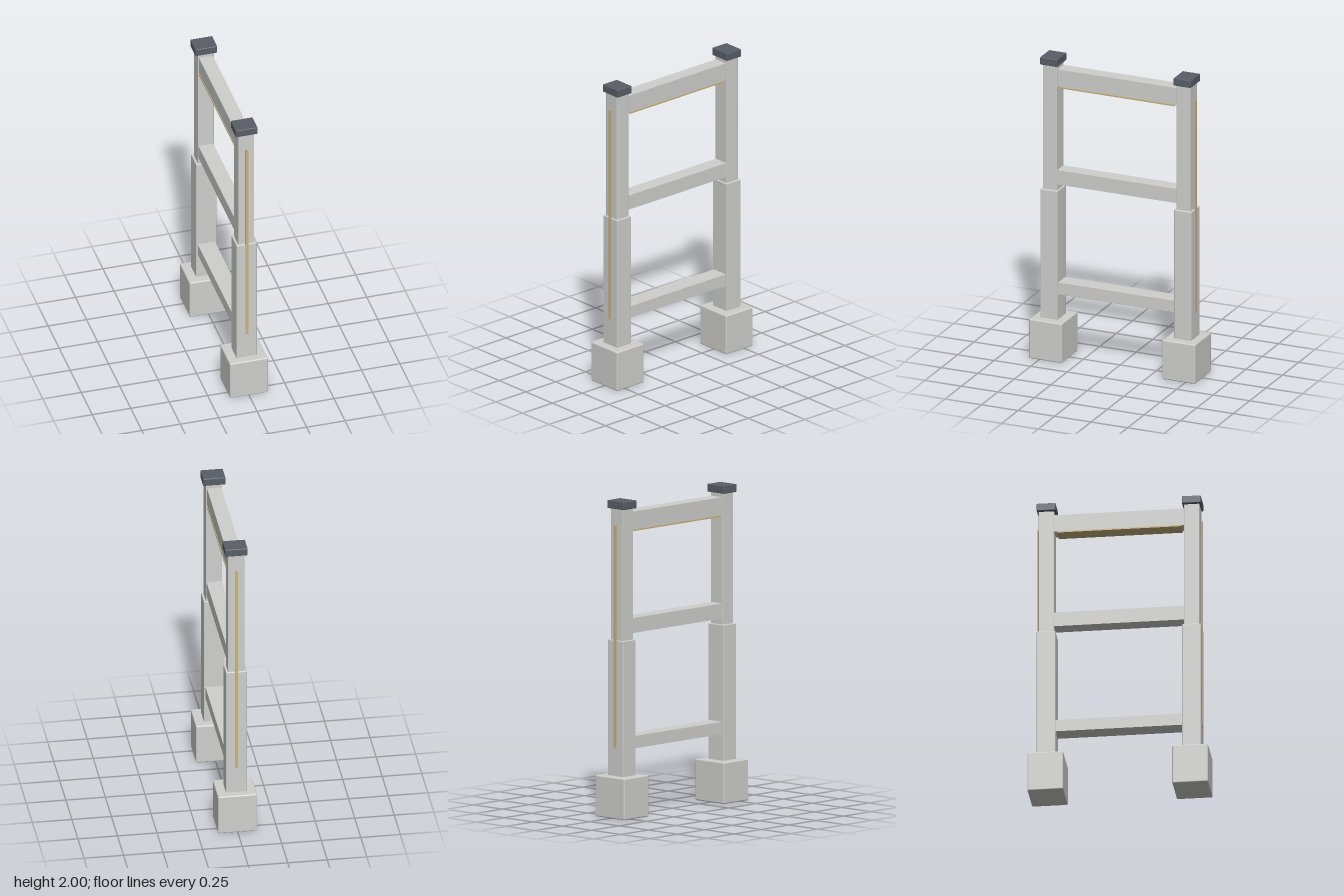
import * as THREE from 'three';
import { RoundedBoxGeometry } from 'three/addons/geometries/RoundedBoxGeometry.js';

const material = (name, color) => {
  const m = new THREE.MeshStandardMaterial({ color });
  m.name = name;
  return m;
};

export function createModel() {
  const concrete = material('concrete grey', 0xcfcfcd);
  const slate = material('slate cap', 0x595e67);
  const brass = material('pale brass', 0xc8b380);
  const model = new THREE.Group();
  model.name = 'gateFrame';

  // Box from its width, height range and depth range; a radius softens the edges
  function block(parent, name, mat, width, y0, y1, z0, z1, radius = 0) {
    const h = y1 - y0, d = z1 - z0;
    const geo = radius
      ? new RoundedBoxGeometry(width, h, d, 2, radius)
      : new THREE.BoxGeometry(width, h, d);
    const mesh = new THREE.Mesh(geo, mat);
    mesh.name = name;
    mesh.position.set(0, (y0 + y1) / 2, (z0 + z1) / 2);
    parent.add(mesh);
  }

  // Two mirrored stepped posts
  for (const side of [1, -1]) {
    const post = new THREE.Group();
    post.name = side > 0 ? 'frontPost' : 'backPost';
    block(post, 'footing', concrete, 0.248, 0, 0.262, 0.343, 0.569, 0.008);
    block(post, 'lowerPost', concrete, 0.132, 0.25, 1.12, 0.399, 0.517, 0.005);
    block(post, 'upperPost', concrete, 0.104, 1.1, 1.96, 0.409, 0.506, 0.004);
    block(post, 'cap', slate, 0.142, 1.95, 2, 0.398, 0.517, 0.005);
    block(post, 'inlayStrip', brass, 0.02, 0.437, 1.845, 0.515, 0.522);
    if (side < 0) post.rotation.y = Math.PI;
    model.add(post);
  }

  // Cross rails
  block(model, 'topRail', concrete, 0.09, 1.813, 1.926, -0.42, 0.42);
  block(model, 'middleRail', concrete, 0.096, 1.159, 1.254, -0.42, 0.42);
  block(model, 'lowerRail', concrete, 0.112, 0.43, 0.508, -0.42, 0.42);

  // Trim plate under the top rail
  block(model, 'topRailTrim', brass, 0.098, 1.803, 1.812, -0.392, 0.392);
  return model;
}
